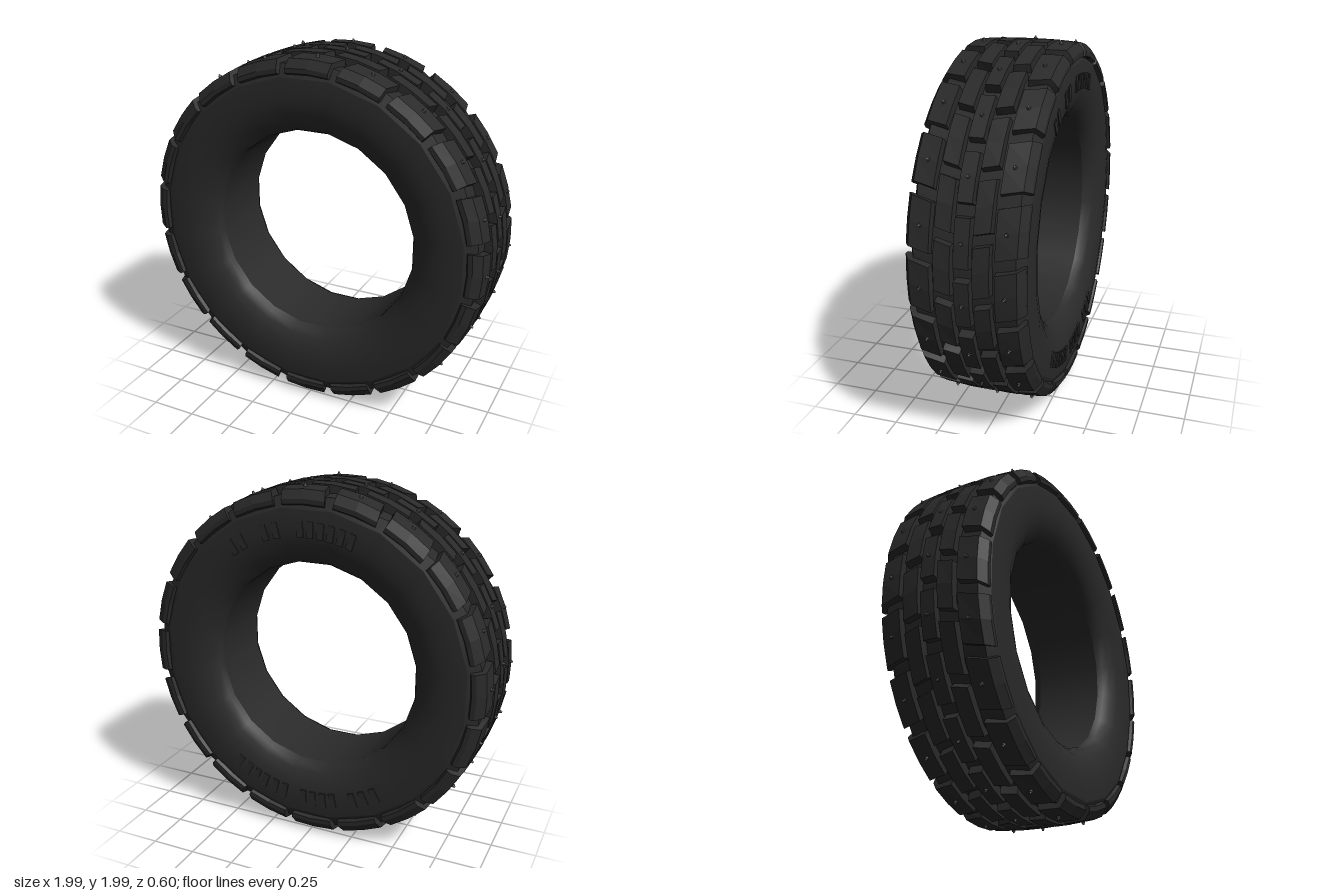
import * as THREE from 'three';
import { mergeGeometries } from 'three/addons/utils/BufferGeometryUtils.js';

const SIDES = 20;
const PITCH = 18;
const rad = THREE.MathUtils.degToRad;

const rubber = new THREE.MeshStandardMaterial({ color: 0x2a2a2a });
rubber.name = 'rubber';
const steel = new THREE.MeshStandardMaterial({ color: 0x85858c });
steel.name = 'stud steel';
const socket = new THREE.MeshStandardMaterial({ color: 0x444446 });
socket.name = 'stud socket';

// Ring about the z axis from [radius, z] points
function ring(name, points) {
  const geo = new THREE.LatheGeometry(points.map(([r, z]) => new THREE.Vector2(r, z)), SIDES, Math.PI / SIDES);
  geo.rotateX(Math.PI / 2);
  const mesh = new THREE.Mesh(geo, rubber);
  mesh.name = name;
  return mesh;
}

const flip = (points) => points.map(([r, z]) => [r, -z]).reverse();

// Tread block: a [z, r] section swept round the tyre, slanted along z and tapered to the top
function block(section, side, centre, halfAngle, slant) {
  const shape = new THREE.Shape(section.map(([z, r]) => new THREE.Vector2(z * side, r)));
  const geo = new THREE.ExtrudeGeometry(shape, { depth: 1, steps: 2, bevelEnabled: false });
  const pos = geo.attributes.position;
  for (let i = 0; i < pos.count; i++) {
    const z = pos.getX(i), r = pos.getY(i), t = 1 - 2 * pos.getZ(i);
    const half = rad(halfAngle) - Math.max(0, r - 0.92) * 0.16;
    const a = rad(centre) + t * half - slant * Math.abs(z);
    pos.setXYZ(i, r * Math.sin(a), r * Math.cos(a), z);
  }
  geo.computeVertexNormals();
  return geo;
}

// A row of blocks all the way round
function blockRow(name, section, side, centre, halfAngle, slant) {
  const parts = [];
  for (let i = 0; i < SIDES; i++) parts.push(block(section, side, centre + i * PITCH, halfAngle, slant));
  const mesh = new THREE.Mesh(mergeGeometries(parts), rubber);
  mesh.name = name;
  return mesh;
}

// A row of studs pointing outward
function studRow(name, z, top, centre) {
  const group = new THREE.Group();
  group.name = name;
  const bases = [], tips = [];
  for (let i = 0; i < SIDES; i++) {
    const place = (geo, r) => geo.translate(0, r, 0).rotateZ(-rad(centre + i * PITCH)).translate(0, 0, z);
    bases.push(place(new THREE.CylinderGeometry(0.009, 0.012, 0.016, 8), top));
    tips.push(place(new THREE.CylinderGeometry(0.005, 0.006, 0.014, 6), top + 0.008));
  }
  const base = new THREE.Mesh(mergeGeometries(bases), socket);
  base.name = 'studBases';
  const tip = new THREE.Mesh(mergeGeometries(tips), steel);
  tip.name = 'studTips';
  group.add(base, tip);
  return group;
}

export function createModel() {
  const tyre = new THREE.Group();
  tyre.name = 'studdedTyre';

  // Carcass, in pieces so the edges between them stay sharp
  const shoulder = [[0.95, 0.255], [0.885, 0.289]];
  const wall = [[0.885, 0.289], [0.82, 0.296], [0.75, 0.293], [0.69, 0.28], [0.635, 0.255], [0.6, 0.225], [0.585, 0.195]];
  tyre.add(
    ring('treadBase', [[0.95, -0.255], [0.95, 0.255]]),
    ring('frontShoulder', shoulder),
    ring('backShoulder', flip(shoulder)),
    ring('frontSidewall', wall),
    ring('backSidewall', flip(wall)),
    ring('bore', [[0.585, 0.195], [0.585, -0.195]])
  );

  // Tread blocks: centre row, then the mirrored inner and shoulder rows
  const centreSection = [[-0.04, 0.915], [0.04, 0.915], [0.038, 0.987], [-0.038, 0.987]];
  const innerSection = [[0.052, 0.915], [0.142, 0.915], [0.138, 0.985], [0.055, 0.986]];
  const outerSection = [[0.158, 0.915], [0.27, 0.89], [0.299, 0.905], [0.299, 0.93], [0.268, 0.975], [0.162, 0.983]];
  tyre.add(blockRow('centreBlocks', centreSection, 1, 6, 7.6, 0));
  for (const [label, side] of [['front', 1], ['back', -1]]) {
    tyre.add(blockRow(label + 'InnerBlocks', innerSection, side, -3, 7.8, 0.25));
    tyre.add(blockRow(label + 'ShoulderBlocks', outerSection, side, 5.2, 7.6, 0.25));
    tyre.add(studRow(label + 'Studs', side * 0.212, 0.979, 2.3));
  }
  tyre.add(studRow('centreStuds', 0, 0.985, 6));

  // Raised ribs on the back sidewall, angles in degrees from top and bottom
  const upper = [-34, -29, -18, -13, -2.5, 1.7, 6, 10.2, 14.5, 18.7];
  const lower = [-35, -30, -25.5, -21, -16, -11.5, -2.5, 2, 6.5, 11, 20.5, 25.5, 31];
  const angles = [...upper.map((a) => a), ...lower.map((a) => 180 - a)];
  const ribs = angles.map((a) =>
    new THREE.BoxGeometry(0.036, 0.085, 0.018).translate(0, 0.775, -0.291).rotateZ(rad(a)));
  const ribMesh = new THREE.Mesh(mergeGeometries(ribs), rubber);
  ribMesh.name = 'sidewallRibs';
  tyre.add(ribMesh);

  tyre.position.y = 1;
  const model = new THREE.Group();
  model.name = 'tyreModel';
  model.add(tyre);
  return model;
}
